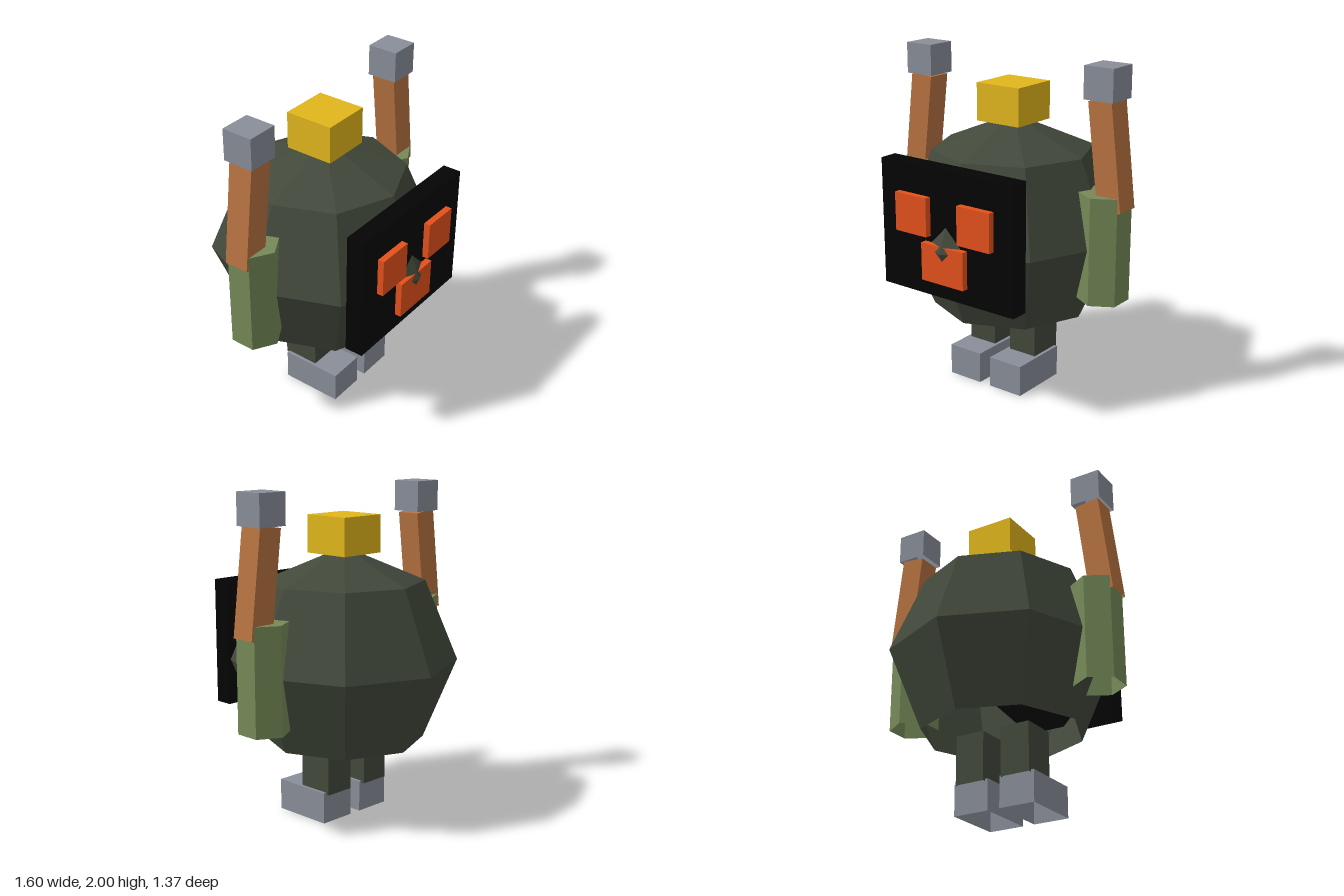
import * as THREE from 'three';

const mat = (name, color) => {
  const m = new THREE.MeshStandardMaterial({ color, flatShading: true, side: THREE.DoubleSide });
  m.name = name;
  return m;
};

// Box without its underside
function openBox(w, h, d) {
  const g = new THREE.BoxGeometry(w, h, d);
  const index = Array.from(g.index.array);
  index.splice(18, 6);
  g.setIndex(index);
  g.clearGroups();
  return g;
}

// Six-sided post with a lid and no underside
function openPost(r, h) {
  const g = new THREE.CylinderGeometry(r, r, h, 6);
  g.setIndex(Array.from(g.index.array).slice(0, -18));
  g.clearGroups();
  return g;
}

export function createModel() {
  const darkGreen = mat('dark olive', 0x42493b);
  const green = mat('moss green', 0x768a58);
  const brown = mat('copper brown', 0xb87341);
  const grey = mat('steel grey', 0x898e99);
  const yellow = mat('mustard yellow', 0xe2b71c);
  const black = mat('black', 0x040404);
  const orange = mat('orange', 0xe4511b);

  const model = new THREE.Group();
  model.name = 'robot';

  const add = (name, geometry, material, x, y, z) => {
    const mesh = new THREE.Mesh(geometry, material);
    mesh.name = name;
    mesh.position.set(x, y, z);
    model.add(mesh);
    return mesh;
  };
  const box = (name, material, w, h, d, x, y, z) =>
    add(name, openBox(w, h, d), material, x, y, z);

  // Eight-sided body with three bands of 45 degrees, open underneath
  const body = new THREE.SphereGeometry(0.685, 8, 3, 0, Math.PI * 2, 0, Math.PI * 0.75);
  add('body', body, darkGreen, 0, 0.957, 0);

  // Block on top of the head
  box('topBlock', yellow, 0.304, 0.226, 0.304, 0, 1.718, 0);

  // Face plate and mouth; the body's front corner pokes through as the nose
  box('facePlate', black, 0.952, 0.762, 0.112, 0, 1.05, 0.57);
  box('mouth', orange, 0.304, 0.226, 0.076, 0, 0.88, 0.627);

  for (const [side, s] of [['left', 1], ['right', -1]]) {
    box(side + 'Eye', orange, 0.23, 0.23, 0.076, s * 0.227, 1.144, 0.627);

    // Six-sided upper arm, tilted forearm and fist
    add(side + 'UpperArm', openPost(0.152, 0.64), green, s * 0.648, 0.954, 0);
    box(side + 'Forearm', brown, 0.152, 0.63, 0.152, s * 0.685, 1.497, 0).rotation.z = s * 0.12;
    box(side + 'Fist', grey, 0.19, 0.188, 0.19, s * 0.648, 1.906, 0);

    // Leg and shoe
    box(side + 'Leg', darkGreen, 0.188, 0.3, 0.226, s * 0.153, 0.327, 0);
    box(side + 'Shoe', grey, 0.228, 0.19, 0.38, s * 0.153, 0.095, 0.096);
  }
  return model;
}
